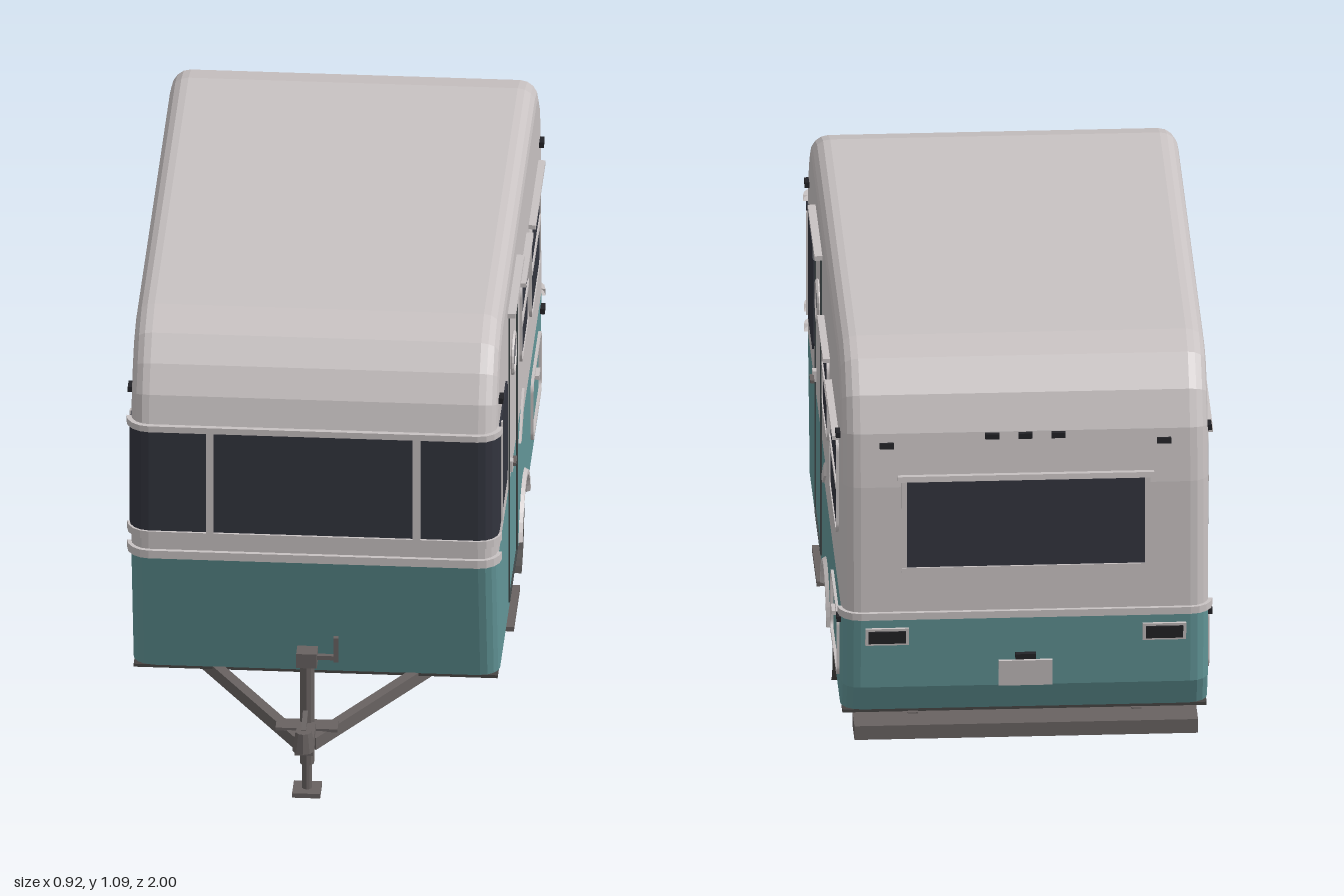
import * as THREE from 'three';

const mat = (name, color, side = THREE.FrontSide) => {
  const m = new THREE.MeshStandardMaterial({ color, side });
  m.name = name;
  return m;
};
const M = {
  cream: mat('cream paint', 0xc8c2c2, THREE.DoubleSide),
  teal: mat('teal paint', 0x629698, THREE.DoubleSide),
  glass: mat('dark glass', 0x32343e, THREE.DoubleSide),
  tyre: mat('tyre rubber', 0x2c2f37),
  steel: mat('chassis steel', 0x686261),
  floor: mat('underbody', 0x464443, THREE.DoubleSide),
  lamp: mat('lamp black', 0x232327),
  hub: mat('hub cap', 0xdad8d8),
  line: mat('door gap', 0x3f4748),
};

const W = 0.443, R = 0.045;            // half width, edge rounding
const WHEEL_Z = -0.285, WHEEL_Y = 0.13, ARCH = 0.142;
const SPLIT_F = 0.51, SPLIT_R = 0.445; // paint line, front and rear

// Side profile [z, y] from front sill over the roof to rear sill
const PROFILE = [[0.55, 0.175], [0.632, SPLIT_F], [0.632, 0.86], [0.61, 0.94], [0.57, 1.005], [0.515, 1.06],
  [0.42, 1.09], [-0.76, 1.09], [-0.847, 1.067], [-0.917, 1.0], [-0.954, 0.914], [-0.97, 0.78],
  [-0.978, SPLIT_R], [-0.96, 0.25], [-0.92, 0.175]];
const REAR_SPLIT = 12;

// Profile points with outward normals: [z, y, nz, ny, outset]
const SECTION = PROFILE.map(([z, y], i) => {
  const a = PROFILE[Math.max(i - 1, 0)], b = PROFILE[Math.min(i + 1, PROFILE.length - 1)];
  const l = Math.hypot(b[0] - a[0], b[1] - a[1]);
  if (y <= SPLIT_F) return [z, y, z > 0 ? 1 : -1, 0, 0];
  return [z, y, (b[1] - a[1]) / l, (a[0] - b[0]) / l, 0];
});
const inset = ([z, y, nz, ny]) => [z - nz * R, y - ny * R];

// z of the rear wall at a height
function rearZ(y) {
  for (let i = 10; i < PROFILE.length - 1; i++) {
    const [z0, y0] = PROFILE[i], [z1, y1] = PROFILE[i + 1];
    if (y <= y0 && y >= y1) return z0 + (z1 - z0) * (y0 - y) / (y0 - y1);
  }
  return -0.96;
}

export function createModel() {
  const model = new THREE.Group();
  model.name = 'travelTrailer';

  const add = (name, geo, material, x = 0, y = 0, z = 0) => {
    const g = geo.index ? geo.toNonIndexed() : geo;
    g.computeVertexNormals();
    const mesh = new THREE.Mesh(g, material);
    mesh.name = name;
    mesh.position.set(x, y, z);
    model.add(mesh);
    return mesh;
  };
  const box = (name, m, w, h, d, x, y, z) => add(name, new THREE.BoxGeometry(w, h, d), m, x, y, z);
  const cyl = (name, m, r, h, x, y, z, n = 10, r2 = r) => add(name, new THREE.CylinderGeometry(r2, r, h, n), m, x, y, z);
  const beam = (name, m, a, b, w, h) => {
    const p = new THREE.Vector3(...a), q = new THREE.Vector3(...b);
    const mesh = box(name, m, w, h, p.distanceTo(q), 0, 0, 0);
    mesh.position.copy(p).lerp(q, 0.5);
    mesh.lookAt(q);
  };

  // Skin running across the width, curling round both vertical edges
  const strip = (name, pts, m) => {
    const rows = [];
    for (let k = 0; k <= 4; k++) {
      const a = k / 4 * Math.PI / 2;
      rows.push([Math.sin(a), 1 - Math.cos(a)]);
    }
    const all = [...rows.slice().reverse().map(([s, c]) => [-1, s, c]), ...rows.map(([s, c]) => [1, s, c])];
    const pos = [], idx = [], n = pts.length;
    for (const [side, s, c] of all) for (const [z, y, nz, ny, o] of pts) {
      const d = o - (R + o) * c;
      pos.push(side * (W - R + (R + o) * s), y + ny * d, z + nz * d);
    }
    for (let i = 0; i < all.length - 1; i++) for (let j = 0; j < n - 1; j++) {
      const a = i * n + j, b = a + n;
      idx.push(a, b, b + 1, a, b + 1, a + 1);
    }
    const g = new THREE.BufferGeometry();
    g.setAttribute('position', new THREE.Float32BufferAttribute(pos, 3));
    g.setIndex(idx);
    return add(name, g, m);
  };
  const band = (name, m, z, y0, y1, o) => {
    const d = z > 0 ? 1 : -1, [a, b] = d > 0 ? [y0, y1] : [y1, y0];
    strip(name, [[z, a, d, 0, 0], [z, a, d, 0, o], [z, b, d, 0, o], [z, b, d, 0, 0]], m);
  };

  // Flat plate on a side wall; shape coordinates are (-z, y)
  const plate = (name, shape, m, s, t = 0.006, from = W) => {
    const g = new THREE.ExtrudeGeometry(shape, { depth: t, bevelEnabled: false, curveSegments: 8 }).rotateY(Math.PI / 2);
    add(name, g, m, s > 0 ? from : -from - t, 0, 0);
  };
  const poly = (pts) => new THREE.Shape(pts.map(([z, y]) => new THREE.Vector2(-z, y)));
  const round = (u0, u1, y0, y1, r, P = THREE.Shape) => {
    const s = new P();
    s.absarc(u1 - r, y0 + r, r, -Math.PI / 2, 0);
    s.absarc(u1 - r, y1 - r, r, 0, Math.PI / 2);
    s.absarc(u0 + r, y1 - r, r, Math.PI / 2, Math.PI);
    s.absarc(u0 + r, y0 + r, r, Math.PI, Math.PI * 1.5);
    return s;
  };
  const frame = (u0, u1, y0, y1, r, w) => {
    const s = round(u0 - w, u1 + w, y0 - w, y1 + w, r + w);
    s.holes.push(round(u0, u1, y0, y1, r, THREE.Path));
    return s;
  };

  // Body skins
  strip('upperShell', SECTION.slice(1, REAR_SPLIT + 1), M.cream);
  strip('lowerFrontShell', SECTION.slice(0, 2), M.teal);
  strip('lowerRearShell', SECTION.slice(REAR_SPLIT), M.teal);
  const inner = SECTION.map(inset);
  const notch = [[-0.14, SPLIT_R], [-0.21, SPLIT_F]];
  const upper = poly([...inner.slice(1, REAR_SPLIT + 1), ...notch]);
  const lower = poly([inner[0], inner[1], notch[1], notch[0], ...inner.slice(REAR_SPLIT)]);
  const a0 = Math.asin((0.175 - WHEEL_Y) / ARCH);
  lower.absarc(-WHEEL_Z, WHEEL_Y, ARCH, a0, Math.PI - a0);

  // Front wrap window and bands
  strip('frontGlass', [[0.632, 0.585, 1, 0, 0.004], [0.632, 0.856, 1, 0, 0.004]], M.glass);
  band('frontTopBand', M.cream, 0.632, 0.856, 0.872, 0.012);
  band('frontMiddleBand', M.cream, 0.632, 0.565, 0.585, 0.01);
  band('frontLowerBand', M.cream, 0.632, 0.512, 0.533, 0.01);
  band('rearBelt', M.cream, -0.978, 0.438, 0.456, 0.01);

  for (const s of [1, -1]) {
    plate('upperSide', upper, M.cream, s, 0.008, W - 0.008);
    plate('lowerSide', lower, M.teal, s, 0.008, W - 0.008);
    box('frontWindowPost', M.cream, 0.018, 0.272, 0.012, s * 0.25, 0.72, 0.638);

    // Side glazing
    const corner = new THREE.Shape();
    corner.moveTo(-0.588, 0.585).lineTo(-0.315, 0.585).lineTo(-0.29, 0.61).lineTo(-0.29, 0.83).lineTo(-0.315, 0.855).lineTo(-0.588, 0.855);
    plate('cornerGlass', corner, M.glass, s, 0.004);
    box('cornerPost', M.cream, 0.01, 0.27, 0.012, s * (W + 0.003), 0.72, 0.525);
    for (const [u0, u1, y0, y1, c] of [[0.17, 0.395, 0.655, 0.855, 0.757], [0.512, 0.812, 0.597, 0.835, 0.717]]) {
      plate('sideGlass', round(u0, u1, y0, y1, 0.025), M.glass, s, 0.004);
      plate('sideWindowFrame', frame(u0, u1, y0, y1, 0.025, 0.008), M.cream, s, 0.007);
      box('windowCrossbar', M.cream, 0.012, 0.014, u1 - u0, s * (W + 0.002), c, -(u0 + u1) / 2);
      box('windowAwning', M.cream, 0.018, 0.011, u1 - u0 + 0.04, s * (W + 0.008), y1 + 0.018, -(u0 + u1) / 2);
    }

    // Lightning flourish at the paint step
    plate('flourish', poly([[-0.135, 0.45], [-0.21, 0.508], [-0.258, 0.537], [-0.25, 0.498], [-0.165, 0.443]]), M.cream, s, 0.006);

    // Storage hatch
    plate('hatchFrame', frame(0.567, 0.84, 0.24, 0.385, 0.02, 0.011), M.cream, s, 0.007);
    box('hatchHandle', M.cream, 0.014, 0.01, 0.045, s * (W + 0.005), 0.345, -0.703);

    // Marker lamps
    for (const [z, y] of [[0.54, 0.925], [-0.875, 0.885], [-0.908, 0.415]])
      box('sideMarker', M.lamp, 0.014, 0.014, 0.032, s * (W + 0.004), y, z);

    // Wheel, hub, arch and well
    const tyre = new THREE.LatheGeometry([[0.06, -0.042], [0.112, -0.042], [0.13, -0.025], [0.13, 0.025], [0.112, 0.042], [0.06, 0.042], [0.06, -0.042]]
      .map((p) => new THREE.Vector2(...p)), 12).rotateZ(Math.PI / 2);
    add('tyre', tyre, M.tyre, s * 0.373, WHEEL_Y, WHEEL_Z);
    add('wheelDisc', new THREE.CylinderGeometry(0.066, 0.066, 0.086, 16).rotateZ(Math.PI / 2), M.hub, s * 0.373, WHEEL_Y, WHEEL_Z);
    add('hubCap', new THREE.CylinderGeometry(0.03, 0.048, 0.015, 12).rotateZ(-s * Math.PI / 2), M.hub, s * 0.422, WHEEL_Y, WHEEL_Z);
    add('archTrim', new THREE.TorusGeometry(ARCH + 0.005, 0.011, 6, 16, Math.PI - 2 * a0).rotateZ(a0).rotateY(Math.PI / 2), M.cream, s * W, WHEEL_Y, WHEEL_Z);
    add('wheelWell', new THREE.CylinderGeometry(ARCH, ARCH, 0.13, 16, 1, true, Math.PI / 2 + a0, Math.PI - 2 * a0)
      .rotateZ(Math.PI / 2).rotateX(0), M.floor, s * 0.372, WHEEL_Y, WHEEL_Z).visible = true;
    box('wellPanel', M.floor, 0.006, 0.11, 0.27, s * 0.31, 0.225, WHEEL_Z);
  }

  // Door on the left side
  const dz = 0.0825;
  for (const z of [0.215, -0.05]) box('doorGap', M.line, 0.008, 0.77, 0.006, W, 0.59, z);
  for (const y of [0.205, 0.975]) box('doorGap', M.line, 0.008, 0.006, 0.271, W, y, dz);
  const port = new THREE.Shape().absarc(-0.085, 0.812, 0.046, 0, Math.PI * 2);
  plate('doorPorthole', port, M.glass, 1, 0.005);
  add('portholeRing', new THREE.TorusGeometry(0.049, 0.006, 6, 20).rotateY(Math.PI / 2), M.cream, W + 0.003, 0.812, 0.085);
  box('doorLatch', M.cream, 0.012, 0.028, 0.02, W + 0.004, 0.567, 0.2);
  box('doorHandle', M.steel, 0.01, 0.008, 0.04, W + 0.012, 0.567, 0.178);
  box('doorAwning', M.cream, 0.02, 0.012, 0.31, W + 0.009, 0.992, 0.085);
  box('entryStep', M.steel, 0.105, 0.012, 0.22, 0.402, 0.116, 0.083);
  for (const z of [0.178, -0.01]) box('stepHanger', M.steel, 0.015, 0.06, 0.012, 0.36, 0.148, z);

  // Rear wall fittings, leaning with the wall
  const rear = (name, m, w, h, d, x, y) => {
    const b = box(name, m, w, h, d, x, y, rearZ(y));
    b.rotation.x = Math.atan2(rearZ(y - 0.02) - rearZ(y + 0.02), -0.04);
    b.rotation.x = -Math.atan((rearZ(y - 0.02) - rearZ(y + 0.02)) / 0.04);
    return b;
  };
  rear('rearGlass', M.glass, 0.58, 0.225, 0.012, 0, 0.685);
  for (const s of [1, -1]) rear('rearFrameSide', M.cream, 0.013, 0.24, 0.02, s * 0.294, 0.685);
  rear('rearFrameSill', M.cream, 0.6, 0.012, 0.022, 0, 0.567);
  rear('rearAwning', M.cream, 0.62, 0.014, 0.034, 0, 0.803);
  for (const [x, y] of [[-0.08, 0.905], [0, 0.905], [0.08, 0.905], [-0.335, 0.885], [0.335, 0.885]])
    rear('rearMarker', M.lamp, 0.034, 0.014, 0.018, x, y);
  for (const s of [1, -1]) {
    rear('tailLampBezel', M.cream, 0.105, 0.045, 0.012, s * 0.335, 0.39);
    rear('tailLamp', M.lamp, 0.09, 0.032, 0.02, s * 0.335, 0.39);
  }
  rear('numberPlate', M.cream, 0.13, 0.068, 0.014, 0, 0.285);
  rear('plateLamp', M.lamp, 0.05, 0.014, 0.024, 0, 0.332);

  // Underbody, notched for the wheels
  box('floorFront', M.floor, 0.88, 0.008, 0.692, 0, 0.172, 0.204);
  box('floorMiddle', M.floor, 0.62, 0.008, 0.285, 0, 0.172, WHEEL_Z);
  box('floorRear', M.floor, 0.88, 0.008, 0.492, 0, 0.172, -0.674);

  // Chassis
  for (const s of [1, -1]) {
    box('chassisRail', M.steel, 0.025, 0.028, 1.4, s * 0.27, 0.155, -0.23);
    beam('drawbar', M.steel, [s * 0.29, 0.16, 0.46], [s * 0.015, 0.16, 0.9], 0.026, 0.032);
  }
  for (const z of [0.44, 0.1, -0.6]) box('crossMember', M.steel, 0.56, 0.024, 0.025, 0, 0.156, z);
  box('axle', M.steel, 0.66, 0.035, 0.035, 0, WHEEL_Y, WHEEL_Z);
  box('rearBumper', M.steel, 0.83, 0.036, 0.1, 0, 0.148, -0.95);

  // Coupler and jack
  box('couplerPlate', M.steel, 0.15, 0.008, 0.05, 0, 0.178, 0.845);
  box('couplerNeck', M.steel, 0.045, 0.04, 0.1, 0, 0.175, 0.91);
  cyl('couplerHead', M.steel, 0.028, 0.05, 0, 0.203, 0.972, 10, 0.02);
  beam('couplerLever', M.steel, [0, 0.225, 0.97], [0, 0.245, 0.905], 0.012, 0.01);
  cyl('jackTube', M.steel, 0.018, 0.27, 0, 0.215, 0.85);
  cyl('jackLeg', M.steel, 0.012, 0.1, 0, 0.06, 0.85);
  box('jackFoot', M.steel, 0.068, 0.012, 0.068, 0, 0.006, 0.85);
  box('jackHead', M.steel, 0.05, 0.038, 0.045, 0, 0.366, 0.85);
  box('crankArm', M.steel, 0.05, 0.011, 0.012, 0.048, 0.368, 0.85);
  box('crankHandle', M.steel, 0.012, 0.065, 0.014, 0.07, 0.39, 0.85);
  return model;
}
